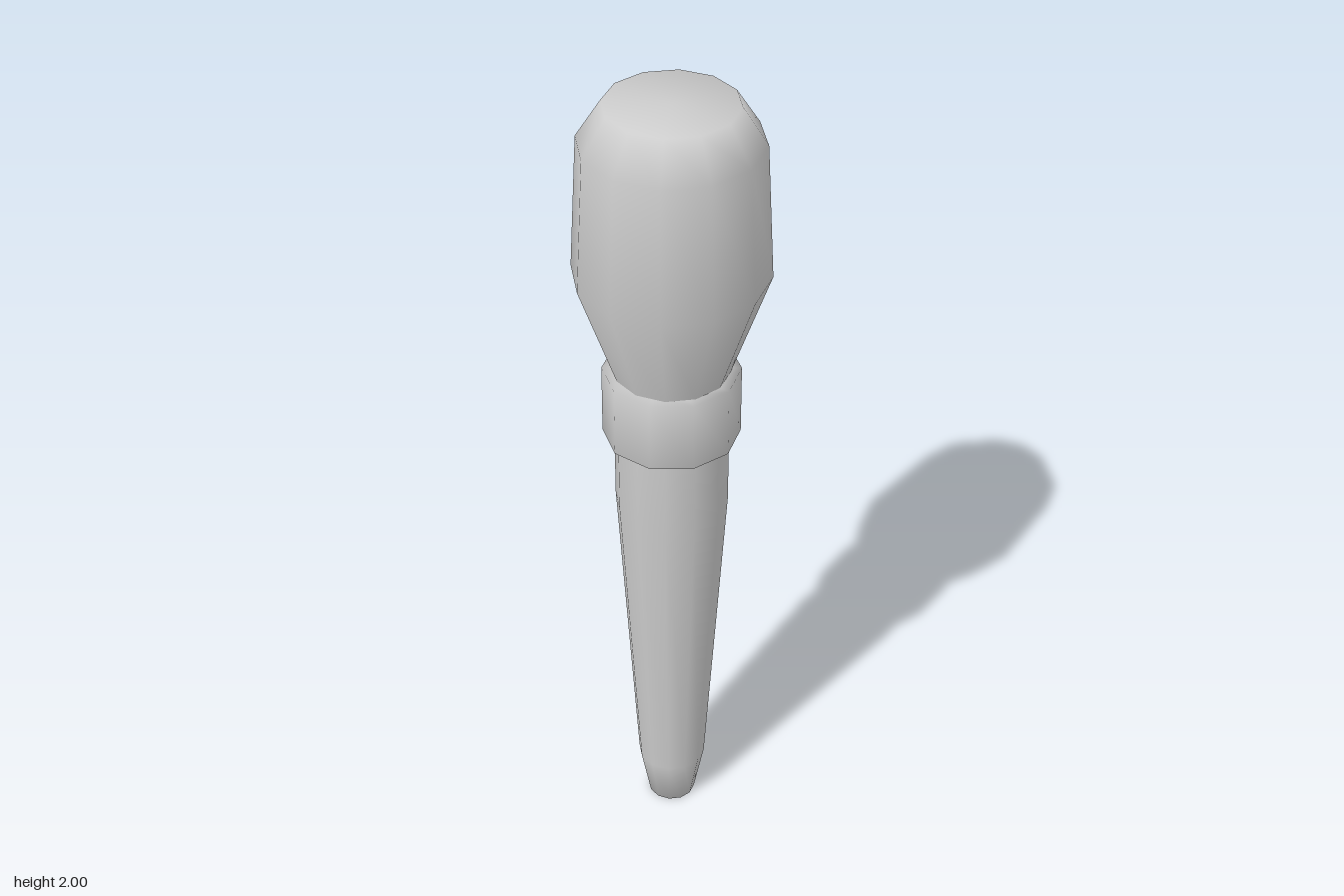
import * as THREE from 'three';

const material = new THREE.MeshStandardMaterial({ color: 0xcccccc });

// Smooth turned part from [radius, height] pairs, listed bottom to top
function turned(name, profile, sides) {
  const points = profile.map(([r, y]) => new THREE.Vector2(r, y));
  const mesh = new THREE.Mesh(new THREE.LatheGeometry(points, sides), material);
  mesh.name = name;
  return mesh;
}

export function createModel() {
  const group = new THREE.Group();
  group.name = 'taperedTool';

  // Long tapering shaft with a blunt, closed tip
  group.add(turned('shaft', [
    [0, 0], [0.058, 0], [0.083, 0.13], [0.134, 0.95], [0.135, 1.25],
  ], 12));

  // Ten-sided collar joining shaft and handle
  group.add(turned('collar', [
    [0.12, 1.143], [0.161, 1.143], [0.161, 1.318], [0.12, 1.318],
  ], 10));

  // Bulging grip with a bevelled, flat top
  group.add(turned('handle', [
    [0.135, 1.25], [0.135, 1.315], [0.227, 1.58], [0.21, 1.91], [0.153, 2], [0, 2],
  ], 12));

  return group;
}
